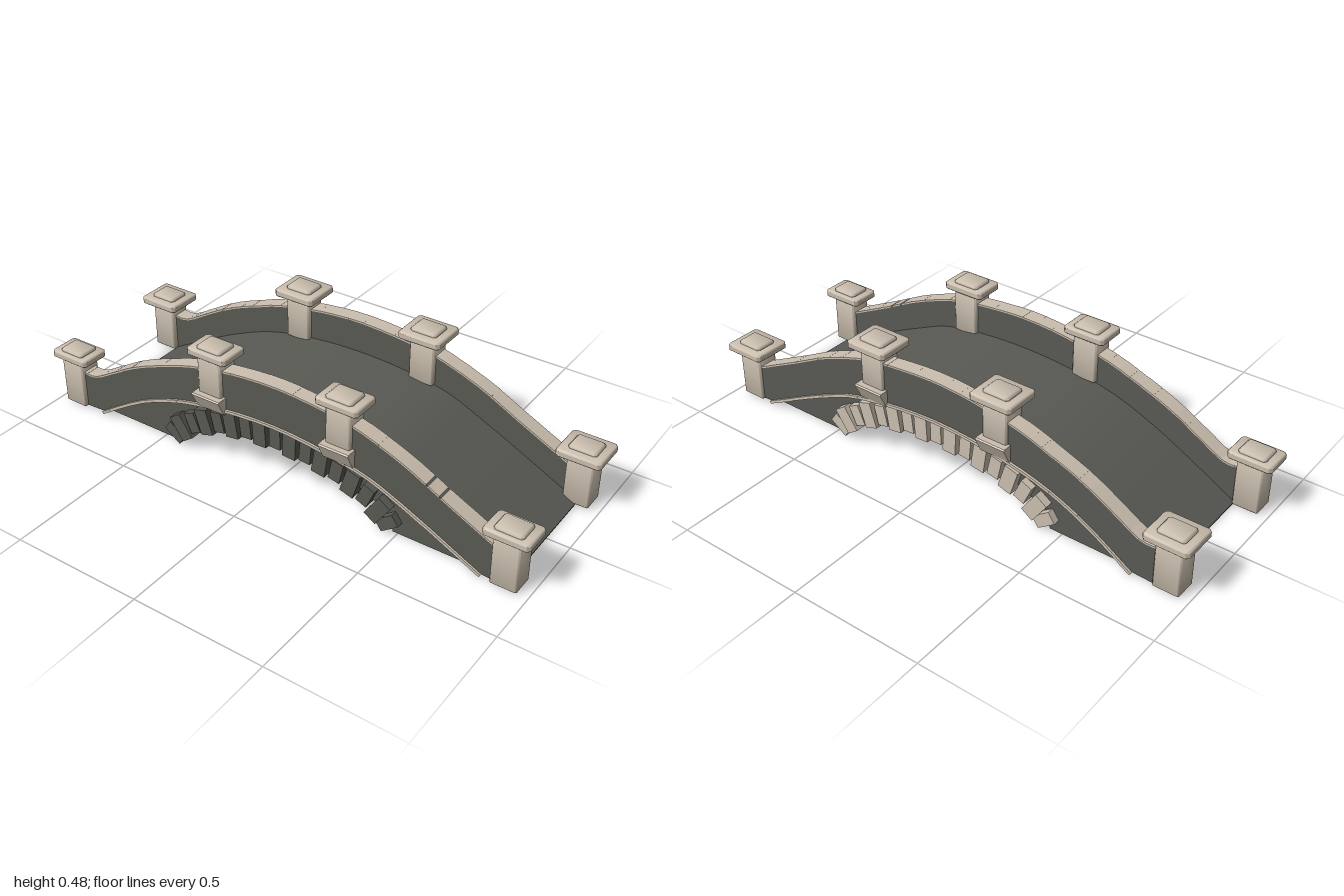
import * as THREE from 'three';
import { toCreasedNormals } from 'three/addons/utils/BufferGeometryUtils.js';

const lightStone = new THREE.MeshStandardMaterial({ color: 0xcbbfaf });
lightStone.name = 'lightStone';
const darkStone = new THREE.MeshStandardMaterial({ color: 0x595a54 });
darkStone.name = 'darkStone';

const vectors = pts => pts.map(p => new THREE.Vector2(p[0], p[1]));
// Smooth side profile through a few [x, y] points
const profile = (pts, n) => new THREE.SplineCurve(vectors(pts)).getPoints(n);

const wallTop = [[-0.87, 0.153], [-0.81, 0.155], [-0.72, 0.205], [-0.6, 0.272], [-0.46, 0.328], [-0.33, 0.371], [-0.16, 0.403],
  [0.02, 0.416], [0.2, 0.404], [0.34, 0.382], [0.52, 0.318], [0.68, 0.238], [0.87, 0.145]];
const wallFoot = [[-0.79, 0.01], [-0.56, 0.148], [-0.31, 0.228], [0.01, 0.26], [0.33, 0.226], [0.52, 0.162], [0.83, 0.01]];
const deckTop = [[-0.87, 0.005], [-0.56, 0.17], [-0.31, 0.258], [0.01, 0.29], [0.33, 0.264], [0.54, 0.187], [0.914, 0.005]];

let seed = 7;
const rand = () => (seed = (seed * 16807) % 2147483647) / 2147483647;

function add(parent, name, geometry, material, x = 0, y = 0, z = 0) {
  const mesh = new THREE.Mesh(geometry, material);
  mesh.name = name;
  mesh.position.set(x, y, z);
  parent.add(mesh);
  return mesh;
}

// Side outline extruded across z, centred on z = 0
function extrudeAcross(points, depth) {
  const geo = new THREE.ExtrudeGeometry(new THREE.Shape(points), { depth, bevelEnabled: false, steps: 1 });
  geo.translate(0, 0, -depth / 2);
  return toCreasedNormals(geo, 0.5);
}

// Upright block with cut corners and bevelled top and bottom, centred on the origin
function chamferBlock(w, h, d, cut, bevel) {
  const a = w / 2 - bevel, b = d / 2 - bevel;
  const outline = vectors([[a - cut, -b], [a, cut - b], [a, b - cut], [a - cut, b],
    [cut - a, b], [-a, b - cut], [-a, cut - b], [cut - a, -b]]);
  const lift = Math.min(bevel, h * 0.3);
  const geo = new THREE.ExtrudeGeometry(new THREE.Shape(outline),
    { depth: h - 2 * lift, bevelThickness: lift, bevelSize: bevel, bevelSegments: 1 });
  geo.translate(0, 0, lift - h / 2);
  geo.rotateX(-Math.PI / 2);
  return toCreasedNormals(geo, 0.9);
}

// Row of slabs lying along a profile, their tops on the line
function slabRow(parent, name, pts, thick, depth, z, skip = () => false) {
  const row = new THREE.Group();
  row.name = name + 'Row';
  parent.add(row);
  for (let i = 0; i < pts.length - 1; i++) {
    const a = pts[i], b = pts[i + 1];
    const length = a.distanceTo(b) * (skip(a.x, b.x) ? 0.75 : 1.01);
    const angle = Math.atan2(b.y - a.y, b.x - a.x);
    const slab = add(row, name, new THREE.BoxGeometry(length, thick, depth + rand() * 0.002), lightStone,
      (a.x + b.x) / 2 + Math.sin(angle) * thick / 2,
      (a.y + b.y) / 2 - Math.cos(angle) * thick / 2 + (rand() - 0.5) * 0.001, z);
    slab.rotation.z = angle;
  }
}

// Square pillar with a bevelled cap and a small raised top
function post(parent, name, x, z, bottom, top, capDepth) {
  const g = new THREE.Group();
  g.name = name;
  g.position.set(x, 0, z);
  parent.add(g);
  const h = top - bottom;
  add(g, 'shaft', chamferBlock(0.097, h, 0.088, 0.002, 0.005), lightStone, 0, bottom + h / 2, 0);
  add(g, 'cap', chamferBlock(0.167, 0.028, capDepth, 0.008, 0.005), lightStone, 0, top + 0.0095, 0);
  add(g, 'capTop', chamferBlock(0.105, 0.028, 0.086, 0.004, 0.008), lightStone, 0, top + 0.0225, 0);
  return g;
}

export function createModel() {
  const bridge = new THREE.Group();
  bridge.name = 'stoneBridge';

  // Solid deck with an elliptical opening below
  const opening = [];
  for (let i = 0; i <= 32; i++) {
    const t = Math.PI * i / 32;
    opening.push(new THREE.Vector2(0.015 + 0.465 * Math.cos(t), 0.175 * Math.sin(t)));
  }
  const body = [new THREE.Vector2(-0.87, 0), ...profile(deckTop, 40), new THREE.Vector2(0.914, 0), ...opening];
  add(bridge, 'deck', extrudeAcross(body, 0.52), darkStone);

  for (const side of [1, -1]) {
    const front = side > 0;
    const sideGroup = new THREE.Group();
    sideGroup.name = front ? 'frontSide' : 'backSide';
    bridge.add(sideGroup);
    const wallZ = 0.262 * side;

    // Parapet wall
    const top = profile(wallTop, 34), foot = profile(wallFoot, 26);
    const outline = [
      new THREE.Vector2(-0.87, 0.006),
      ...top.map(p => new THREE.Vector2(p.x, p.y - 0.004)),
      new THREE.Vector2(0.87, 0.006),
      ...foot.slice().reverse()
    ];
    add(sideGroup, 'parapetWall', extrudeAcross(outline, 0.056), darkStone, 0, 0, wallZ);

    // Thin coping on the wall, with one open joint at the front, and the string course below
    slabRow(sideGroup, 'copingSlab', top, 0.006, 0.058, wallZ, (a, b) => front && a < 0.63 && b >= 0.63);
    slabRow(sideGroup, 'stringCourse', foot, 0.011, 0.066, wallZ + 0.003 * side);

    // Arch stones, alternating long and short, spaced evenly along the ellipse
    const arch = new THREE.EllipseCurve(0.015, 0, 0.46, 0.202, Math.PI * 0.95, Math.PI * 0.05, true);
    const count = 17;
    for (let i = 0; i < count; i++) {
      const u = i / (count - 1);
      const p = arch.getPointAt(u), d = arch.getTangentAt(u);
      const long = i % 2 === 1;
      const stone = add(sideGroup, 'archStone',
        new THREE.BoxGeometry(long ? 0.054 : 0.046, long ? 0.1 : 0.08, long ? 0.068 : 0.058),
        front ? darkStone : lightStone, p.x, Math.max(p.y, 0.046), 0.257 * side);
      // Stones near the springing lean less than the true normal
      stone.rotation.z = Math.atan2(d.y, d.x) * 0.78;
    }

    // Posts
    const postZ = front ? 0.262 : -0.257;
    const capDepth = front ? 0.12 : 0.15;
    for (const x of [-0.9165, 0.913]) post(sideGroup, 'endPost', x, postZ, 0.003, 0.197, capDepth);
    for (const x of [-0.247, 0.285]) {
      const g = post(sideGroup, 'middlePost', x, postZ, 0.265, 0.44, capDepth);
      // Tapered bracket on the outer face
      const wedge = new THREE.Shape(vectors([[-0.02, 0.228], [0.04, 0.228], [0.07, 0.288], [0.066, 0.293], [-0.02, 0.293]]));
      const geo = new THREE.ExtrudeGeometry(wedge, { depth: 0.118, bevelEnabled: false });
      geo.translate(0, 0, -0.059);
      const bracket = add(g, 'bracket', geo, lightStone);
      bracket.rotation.y = -side * Math.PI / 2;
    }
  }
  return bridge;
}
